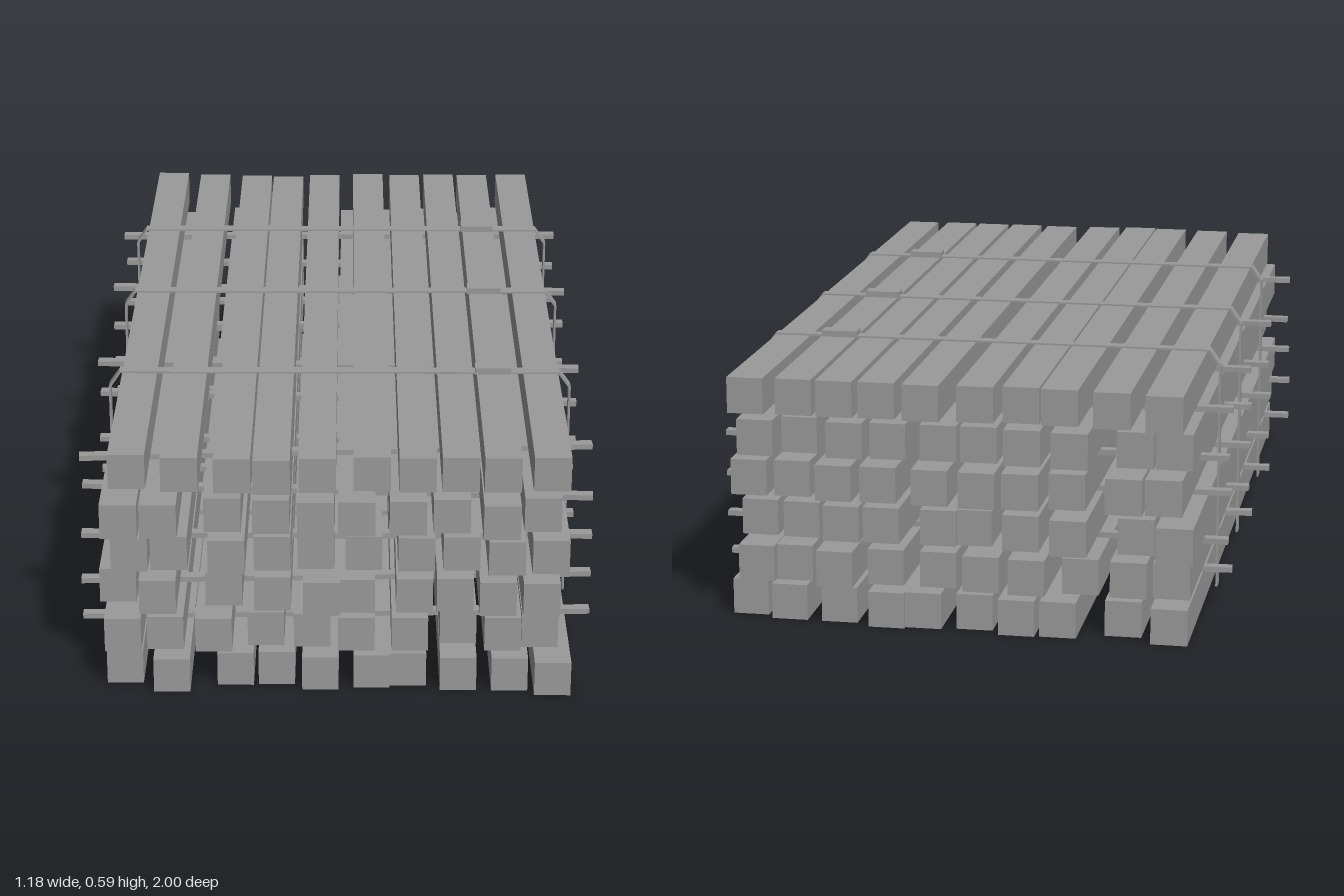
import * as THREE from 'three';

const BEAM = 0.083, PITCH = 0.0978, LENGTH = 1.92;

// Layers from the bottom up: beam centres across, lengthwise shift of the
// first and last beam, and the range of shifts for the beams between them
const LAYERS = [
  { xs: [-0.484, -0.375, -0.231, -0.137, -0.037, 0.08, 0.163, 0.277, 0.394, 0.491], ends: [-0.015, 0.04], range: [-0.02, 0.03] },
  { xs: [-0.485, -0.389, -0.279, -0.161, -0.056, 0.045, 0.166, 0.277, 0.377, 0.462], ends: [0.015, -0.01], range: [-0.03, 0.025] },
  { xs: [-0.497, -0.404, -0.256, -0.145, -0.034, 0.045, 0.176, 0.268, 0.364, 0.462], ends: [-0.04, 0.03], range: [-0.03, 0.03] },
  { xs: [-0.467, -0.378, -0.248, -0.145, -0.047, 0.061, 0.18, 0.282, 0.383, 0.482], ends: [0, 0.01], range: [-0.02, 0.02] },
  { xs: [-0.486, -0.398, -0.256, -0.147, -0.047, 0.045, 0.16, 0.258, 0.369, 0.462], ends: [0.035, -0.005], range: [-0.005, 0.04] },
  { xs: [-0.469, -0.351, -0.233, -0.145, -0.043, 0.079, 0.181, 0.277, 0.371, 0.481], ends: [-0.02, -0.01], range: [-0.015, 0.012] },
];

// Spacer sticks above each layer: z at the -x end and at the +x end
const STICKS = [
  [[0.78, 0.75], [0.22, 0.23], [-0.2, -0.3], [-0.67, -0.72]],
  [[0.79, 0.75], [0.18, 0.16], [-0.32, -0.31], [-0.77, -0.74]],
  [[0.75, 0.75], [0.21, 0.22], [-0.29, -0.28], [-0.71, -0.74]],
  [[0.69, 0.75], [0.15, 0.21], [-0.29, -0.31], [-0.77, -0.74]],
  [[0.75, 0.68], [0.19, 0.23], [-0.32, -0.29], [-0.71, -0.72]],
];

export function createModel() {
  const model = new THREE.Group();
  model.name = 'lumberStack';
  const material = new THREE.MeshStandardMaterial({ color: 0x9a9a9a, flatShading: true, side: THREE.DoubleSide });

  let seed = 7;
  const random = () => (seed = (seed * 16807) % 2147483647) / 2147483647;
  const add = (parent, name, geometry, x, y, z) => {
    const mesh = new THREE.Mesh(geometry, material);
    mesh.name = name;
    mesh.position.set(x, y, z);
    parent.add(mesh);
    return mesh;
  };
  const group = (name) => {
    const g = new THREE.Group();
    g.name = name;
    model.add(g);
    return g;
  };

  // Layers of square beams, open underneath, with slightly uneven ends
  const beams = group('beams');
  const beamGeometry = new THREE.BoxGeometry(BEAM, BEAM, LENGTH);
  const faces = Array.from(beamGeometry.index.array);
  faces.splice(18, 6); // the underside
  beamGeometry.setIndex(faces);
  beamGeometry.clearGroups();
  LAYERS.forEach(({ xs, ends, range }, layer) => xs.forEach((x, i) => {
    let z = range[0] + random() * (range[1] - range[0]);
    if (i === 0) z = ends[0];
    if (i === xs.length - 1) z = ends[1];
    add(beams, 'beam', beamGeometry, x, BEAM / 2 + layer * PITCH, z);
  }));

  // Thin spacer sticks, each a little askew
  const sticks = group('spacerSticks');
  const stickGeometry = new THREE.BoxGeometry(1.183, PITCH - BEAM - 0.002, 0.024);
  STICKS.forEach((row, layer) => row.forEach(([z0, z1]) => {
    const y = layer * PITCH + (BEAM + PITCH) / 2;
    const stick = add(sticks, 'spacerStick', stickGeometry, -0.001, y, (z0 + z1) / 2);
    stick.rotation.y = Math.atan2(z0 - z1, 1.183);
  }));

  // Binding straps with chamfered corners, and a buckle on each
  const straps = group('straps');
  const outer = [[-0.543, 0], [-0.543, 0.538], [-0.517, 0.576], [0.525, 0.576], [0.553, 0.538], [0.553, 0]];
  const inner = [[0.548, 0], [0.548, 0.536], [0.522, 0.572], [-0.514, 0.572], [-0.538, 0.536], [-0.538, 0]];
  const outline = [...outer, ...inner].map(([x, y]) => new THREE.Vector2(x, y));
  const strapGeometry = new THREE.ExtrudeGeometry(new THREE.Shape(outline), { depth: 0.03, bevelEnabled: false });
  strapGeometry.translate(0, 0, -0.015);
  const buckleGeometry = new THREE.BoxGeometry(0.085, 0.016, 0.038);
  for (const z of [0.46, -0.063, -0.518]) {
    add(straps, 'strap', strapGeometry, 0, 0, z);
    add(straps, 'buckle', buckleGeometry, 0.368, 0.579, z);
  }

  return model;
}
